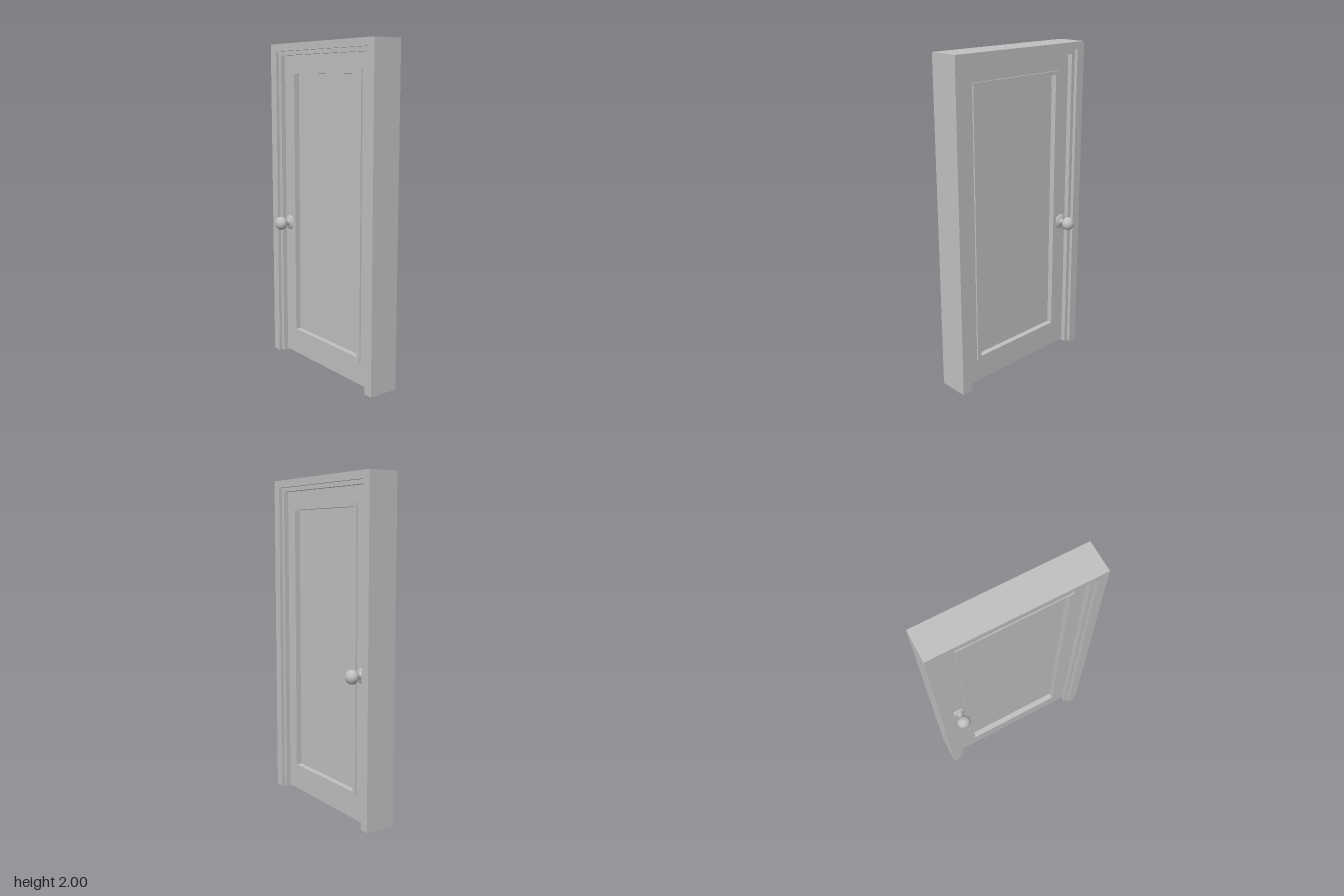
import * as THREE from 'three';

const rectPoints = (x0, y0, x1, y1) => [[x0, y0], [x1, y0], [x1, y1], [x0, y1]].map(p => new THREE.Vector2(...p));

// Shape extruded symmetrically about z = 0
function slab(name, shape, halfDepth, material) {
  const geo = new THREE.ExtrudeGeometry(shape, { depth: halfDepth * 2, bevelEnabled: false });
  geo.translate(0, 0, -halfDepth);
  const mesh = new THREE.Mesh(geo, material);
  mesh.name = name;
  return mesh;
}

// Upside-down U, open at the floor
function archway(outX, outY, inX, inY) {
  return new THREE.Shape([[-outX, 0], [-inX, 0], [-inX, inY], [inX, inY], [inX, 0], [outX, 0], [outX, outY], [-outX, outY]]
    .map(p => new THREE.Vector2(...p)));
}

// Rectangle with a rectangular hole
function ring(outer, inner) {
  const shape = new THREE.Shape(rectPoints(...outer));
  shape.holes.push(new THREE.Path(rectPoints(...inner)));
  return shape;
}

export function createModel() {
  const group = new THREE.Group();
  const grey = new THREE.MeshStandardMaterial({ color: 0xc0c0c0 });
  grey.name = 'plain grey';

  // Stepped door frame
  group.add(slab('doorFrame', archway(0.5, 2, 0.4425, 1.955), 0.0935, grey));
  group.add(slab('doorStop', archway(0.4425, 1.955, 0.4175, 1.93), 0.073, grey));

  // Door leaf, moulding and recessed panel
  const leaf = [-0.4175, 0.01, 0.4175, 1.93];
  const mouldOuter = [-0.33, 0.155, 0.345, 1.837];
  const mouldInner = [-0.303, 0.177, 0.319, 1.815];
  group.add(slab('doorLeaf', ring(leaf, [-0.315, 0.165, 0.331, 1.827]), 0.043, grey));
  group.add(slab('panelMoulding', ring(mouldOuter, mouldInner), 0.053, grey));
  group.add(slab('doorPanel', new THREE.Shape(rectPoints(-0.31, 0.17, 0.326, 1.822)), 0.018, grey));

  // Knob with rosette and neck, one on each side
  const profile = [
    [0.045, 0.04], [0.045, 0.048], [0.036, 0.053], [0.02, 0.056], [0.016, 0.064], [0.018, 0.08],
    [0.034, 0.091], [0.041, 0.1], [0.042, 0.112], [0.041, 0.124], [0.034, 0.136], [0.022, 0.145], [0.01, 0.149], [0, 0.15],
  ].map(p => new THREE.Vector2(...p));
  const knobGeo = new THREE.LatheGeometry(profile, 20);
  for (const side of [1, -1]) {
    const knob = new THREE.Mesh(knobGeo, grey);
    knob.name = side > 0 ? 'frontKnob' : 'backKnob';
    knob.rotation.x = side * Math.PI / 2;
    knob.position.set(-0.376, 0.876, 0);
    group.add(knob);
  }
  return group;
}
